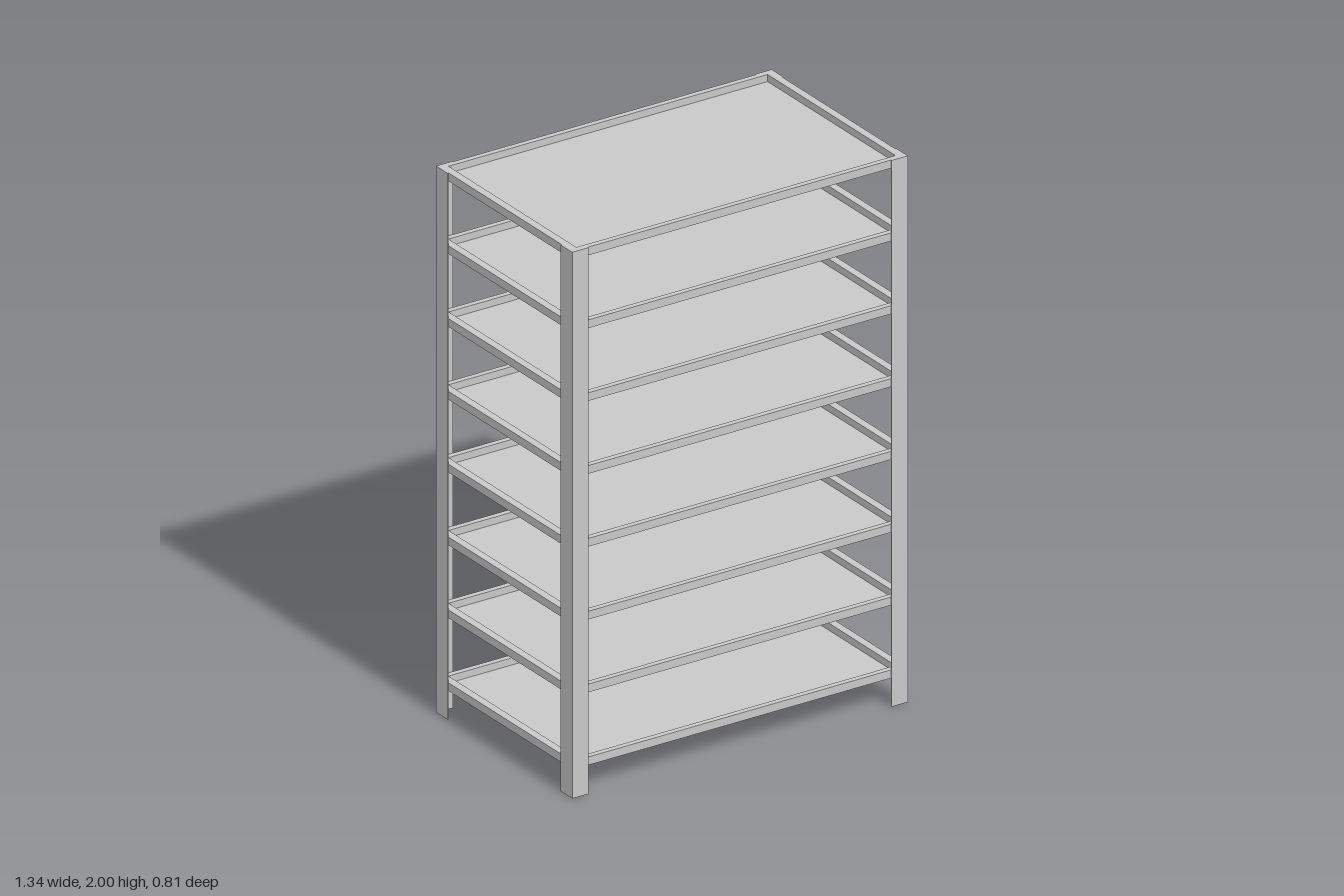
import * as THREE from 'three';

const HALF_X = 0.67, HALF_Z = 0.404; // outer faces of the posts
const SHEET = 0.004;                 // sheet metal thickness
const LEVELS = 8, PITCH = 2 / 7.5, SHELF_H = 0.03;

export function createModel() {
  const model = new THREE.Group();
  model.name = 'shelvingRack';
  const steel = new THREE.MeshStandardMaterial({ color: 0xc8c8c8 });
  steel.name = 'grey steel';

  // Extrudes a plan outline (x, z) upwards from y
  const extrudeUp = (name, shape, height, y, parent) => {
    const geometry = new THREE.ExtrudeGeometry(shape, { depth: height, bevelEnabled: false });
    geometry.rotateX(-Math.PI / 2);
    const mesh = new THREE.Mesh(geometry, steel);
    mesh.name = name;
    mesh.position.y = y;
    parent.add(mesh);
  };
  const rectangle = (hx, hz) => [[-hx, -hz], [hx, -hz], [hx, hz], [-hx, hz]]
    .map(([x, z]) => new THREE.Vector2(x, z));

  // L-section corner posts, open towards the inside
  const legX = 0.065, legZ = 0.069;
  const angle = [[0, 0], [legX, 0], [legX, SHEET], [SHEET, SHEET], [SHEET, legZ], [0, legZ]];
  for (const sx of [-1, 1]) {
    for (const sz of [-1, 1]) {
      const outline = angle.map(([x, z]) =>
        new THREE.Vector2(sx * (HALF_X - x), sz * (HALF_Z - z)));
      // shape y becomes -z after turning upright
      const name = (sz < 0 ? 'front' : 'back') + (sx > 0 ? 'Left' : 'Right') + 'Post';
      extrudeUp(name, new THREE.Shape(outline), 2, 0, model);
    }
  }

  // Tray shelves: raised rim around a thin floor
  const shelfX = HALF_X - SHEET, shelfZ = HALF_Z - SHEET;
  const innerX = 0.637, innerZ = 0.379;
  for (let i = 0; i < LEVELS; i++) {
    const shelf = new THREE.Group();
    shelf.name = `shelf${i + 1}`;
    shelf.position.y = PITCH * (i + 0.5) - SHELF_H;
    const rim = new THREE.Shape(rectangle(shelfX, shelfZ));
    rim.holes.push(new THREE.Path(rectangle(innerX, innerZ)));
    extrudeUp('shelfRim', rim, SHELF_H, 0, shelf);
    extrudeUp('shelfFloor', new THREE.Shape(rectangle(innerX, innerZ)), SHEET, 0, shelf);
    model.add(shelf);
  }
  return model;
}
